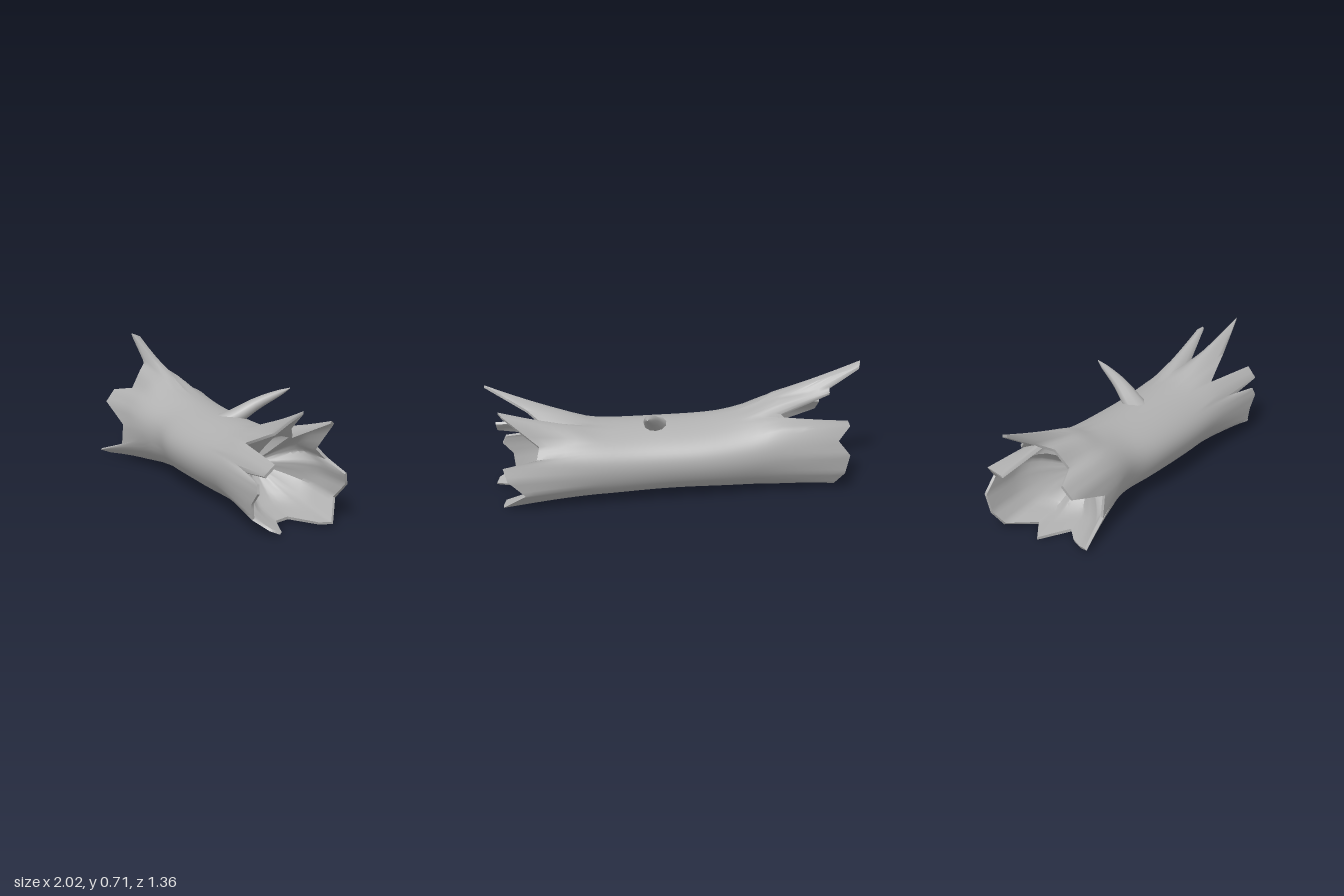
import * as THREE from 'three';
import { toCreasedNormals } from 'three/addons/utils/BufferGeometryUtils.js';

const COLS = 72;
const BEND = 0.45; // distance from the middle where the splinters begin to flare
const FLOOR = 0.42; // distance from the middle where each rotten hollow ends

// Torn edges as [angle, distance along the log, sideways, height]; angle 0 is the front side, 90 the top
const leftEdge = [
  [-45, 0.87, 0.28, 0.02], [-30, 0.9, 0.34, 0.04], [-15, 0.68, 0.29, 0.12], [5, 0.66, 0.29, 0.25],
  [20, 0.93, 0.28, 0.34], [35, 0.94, 0.22, 0.41], [50, 0.8, 0.16, 0.44], [65, 0.83, 0.09, 0.54],
  [75, 0.88, 0.04, 0.57], [80, 0.92, 0.03, 0.6], [85, 1.12, 0.01, 0.72], [90, 1.1, -0.04, 0.7],
  [95, 0.92, -0.05, 0.59], [105, 0.92, -0.07, 0.56], [115, 0.62, -0.11, 0.46], [120, 0.64, -0.13, 0.44],
  [130, 1.02, -0.13, 0.4], [145, 1.0, -0.24, 0.41], [160, 0.93, -0.26, 0.33], [180, 1.0, -0.27, 0.24],
  [205, 0.98, -0.25, 0.12], [225, 0.93, -0.2, 0.04], [250, 0.78, -0.08, 0.01], [265, 0.92, 0.02, 0.01],
  [285, 0.74, 0.12, 0.01], [300, 0.82, 0.2, 0.01],
];
const rightEdge = [
  [-70, 0.85, 0.1, 0.02], [-50, 1.02, 0.17, 0.02], [-40, 1.0, 0.22, 0.04], [-25, 0.9, 0.27, 0.08],
  [-10, 0.91, 0.28, 0.17], [5, 0.97, 0.28, 0.24], [20, 0.95, 0.27, 0.29], [30, 0.8, 0.25, 0.31],
  [35, 1.0, 0.26, 0.34], [45, 1.01, 0.2, 0.4], [60, 0.63, 0.16, 0.42], [75, 0.85, 0.11, 0.52],
  [80, 0.97, 0.09, 0.61], [85, 1.07, 0.07, 0.68], [95, 0.84, 0.0, 0.54], [105, 0.74, -0.07, 0.46],
  [115, 1.01, -0.14, 0.59], [120, 0.99, -0.17, 0.57], [135, 0.79, -0.2, 0.39], [150, 0.81, -0.25, 0.33],
  [170, 1.0, -0.25, 0.29], [185, 0.98, -0.27, 0.22], [205, 0.88, -0.26, 0.12], [230, 1.0, -0.17, 0.02],
  [245, 0.98, -0.1, 0.02], [260, 0.82, 0.0, 0.02],
];

// Linear lookup around a torn edge
function edgeAt(table, angle) {
  const first = table[0];
  const deg = angle > first[0] + 360 ? angle - 360 : angle;
  const loop = [...table, [first[0] + 360, ...first.slice(1)]];
  const k = loop.findIndex((p, i) => i > 0 && deg <= p[0]);
  const a = loop[k - 1], b = loop[k];
  const f = (deg - a[0]) / (b[0] - a[0]);
  return a.map((n, i) => n + (b[i] - n) * f);
}

// Skin over rows of points; each row is a ring that closes on itself
function loft(rows, cols, at) {
  const position = [], index = [];
  for (let i = 0; i < rows; i++)
    for (let j = 0; j < cols; j++) position.push(...at(i, j));
  for (let i = 0; i < rows - 1; i++)
    for (let j = 0; j < cols; j++) {
      const k = (j + 1) % cols;
      const a = i * cols + j, b = a + cols, c = (i + 1) * cols + k, d = i * cols + k;
      index.push(a, b, c, a, c, d);
    }
  const g = new THREE.BufferGeometry();
  g.setAttribute('position', new THREE.Float32BufferAttribute(position, 3));
  g.setIndex(index);
  return toCreasedNormals(g, 0.9);
}

// A point on the bark (t from the middle to the edge) or in a hollow (t from its floor to the edge)
function logPoint(side, t, j, inside) {
  const deg = (j / COLS) * 360, a = THREE.MathUtils.degToRad(deg);
  const [, len, v, y] = edgeAt(side < 0 ? leftEdge : rightEdge, deg);
  const d = inside ? FLOOR + (len - FLOOR) * t : len * t;
  const u = side * d;
  const w = Math.pow(Math.max(0, (d - BEND) / (len - BEND)), 1.2);
  const sag = Math.min(1, (d / 0.6) ** 2);
  const top = 0.435 + sag * (side < 0 ? 0.085 : 0.03);
  const bottom = 0.03 - sag * (side < 0 ? 0.025 : 0.01);
  const bump = 1 + 0.02 * Math.sin(3 * a + 5 * u) * Math.cos(2 * a - 4 * u) * (1 - w);
  const pinch = 0.035 * Math.exp(-(((u + 0.3) / 0.15) ** 2)) * Math.max(0, Math.cos(a));
  const bodyV = 0.277 * bump * Math.cos(a) - pinch;
  const bodyY = (top + bottom) / 2 + ((top - bottom) / 2) * bump * Math.sin(a);
  // The hollow is inset from the bark and rounds off to a point at its floor
  const cut = inside ? 0.045 * (1 - 0.65 * w) : 0;
  const spread = inside ? 0.01 + 0.99 * Math.sin(Math.min(1, t * 1.6) * Math.PI / 2) : 1;
  const outY = Math.max(0.002, bodyY + (y - bodyY) * w) - cut * Math.sin(a);
  const outV = bodyV + (v - bodyV) * w - cut * Math.cos(a);
  return [u, 0.24 + (outY - 0.24) * spread, outV * spread];
}

export function createModel() {
  const model = new THREE.Group();
  model.name = 'hollowLog';
  const wood = new THREE.MeshStandardMaterial({ color: 0xb0b0b0 });
  wood.name = 'grey wood';

  // Trunk: out of the left hollow, along the bark, into the right hollow
  const cup = 12, bark = 31;
  const trunk = new THREE.Mesh(loft(cup * 2 + bark, COLS, (i, j) => {
    if (i < cup) return logPoint(-1, i / (cup - 1), j, true);
    if (i >= cup + bark) return logPoint(1, 1 - (i - cup - bark) / (cup - 1), j, true);
    const s = -1 + (2 * (i - cup)) / (bark - 1);
    return logPoint(s < 0 ? -1 : 1, Math.abs(s), j, false);
  }), wood);
  trunk.name = 'trunk';
  trunk.rotation.y = -0.455;
  model.add(trunk);

  // Broken branch stub: flattened and tapering to a point
  const path = new THREE.CatmullRomCurve3([
    new THREE.Vector3(0.0, 0.36, 0.1), new THREE.Vector3(0.12, 0.42, 0.0),
    new THREE.Vector3(0.22, 0.5, -0.1), new THREE.Vector3(0.35, 0.58, -0.25),
  ]);
  const up = new THREE.Vector3(0, 1, 0);
  const branch = new THREE.Mesh(loft(12, 10, (i, j) => {
    const t = i / 11, a = (j / 10) * Math.PI * 2;
    const dir = path.getTangent(t);
    const side = dir.clone().cross(up).normalize();
    const rise = side.clone().cross(dir);
    const size = 0.003 + 0.085 * Math.pow(1 - t, 0.7);
    return path.getPoint(t)
      .addScaledVector(side, Math.cos(a) * size)
      .addScaledVector(rise, Math.sin(a) * size * (0.6 + 0.3 * t)).toArray();
  }), wood);
  branch.name = 'branchStub';
  model.add(branch);

  return model;
}
